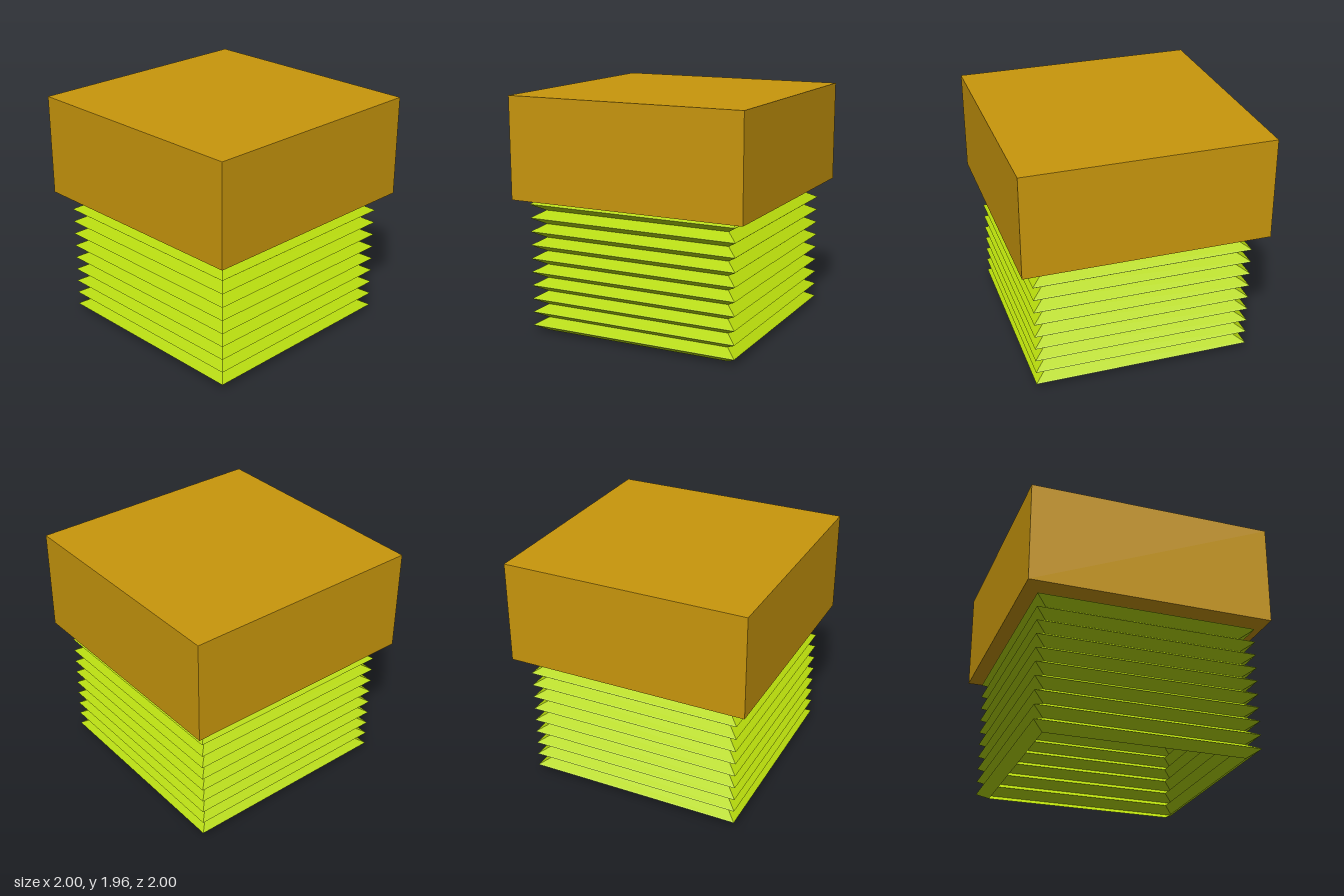
import * as THREE from 'three';

export function createModel() {
  const model = new THREE.Group();
  model.name = 'bellowsBlock';

  // Solid square block on top
  const block = new THREE.Mesh(
    new THREE.BoxGeometry(2, 0.835, 2),
    new THREE.MeshStandardMaterial({ color: 0xc8960c })
  );
  block.name = 'topBlock';
  block.position.y = 1.12 + 0.835 / 2;
  model.add(block);

  // Thin square bellows, open at the bottom: one pleat profile repeated upwards
  const pleats = 10, pitch = 0.113;
  const pleat = [[0.805, 0], [0.89, 0.05], [0.899, 0.057], [0.89, 0.064]];
  const profile = [];
  for (let i = 0; i < pleats; i++) {
    for (const [r, y] of pleat) profile.push(new THREE.Vector2(r * Math.SQRT2, y + i * pitch));
  }
  profile.push(new THREE.Vector2(0.805 * Math.SQRT2, pleats * pitch));

  const bellows = new THREE.Mesh(
    new THREE.LatheGeometry(profile, 4, Math.PI / 4),
    new THREE.MeshStandardMaterial({ color: 0xb5d80c, flatShading: true, side: THREE.DoubleSide })
  );
  bellows.name = 'bellows';
  model.add(bellows);

  return model;
}
